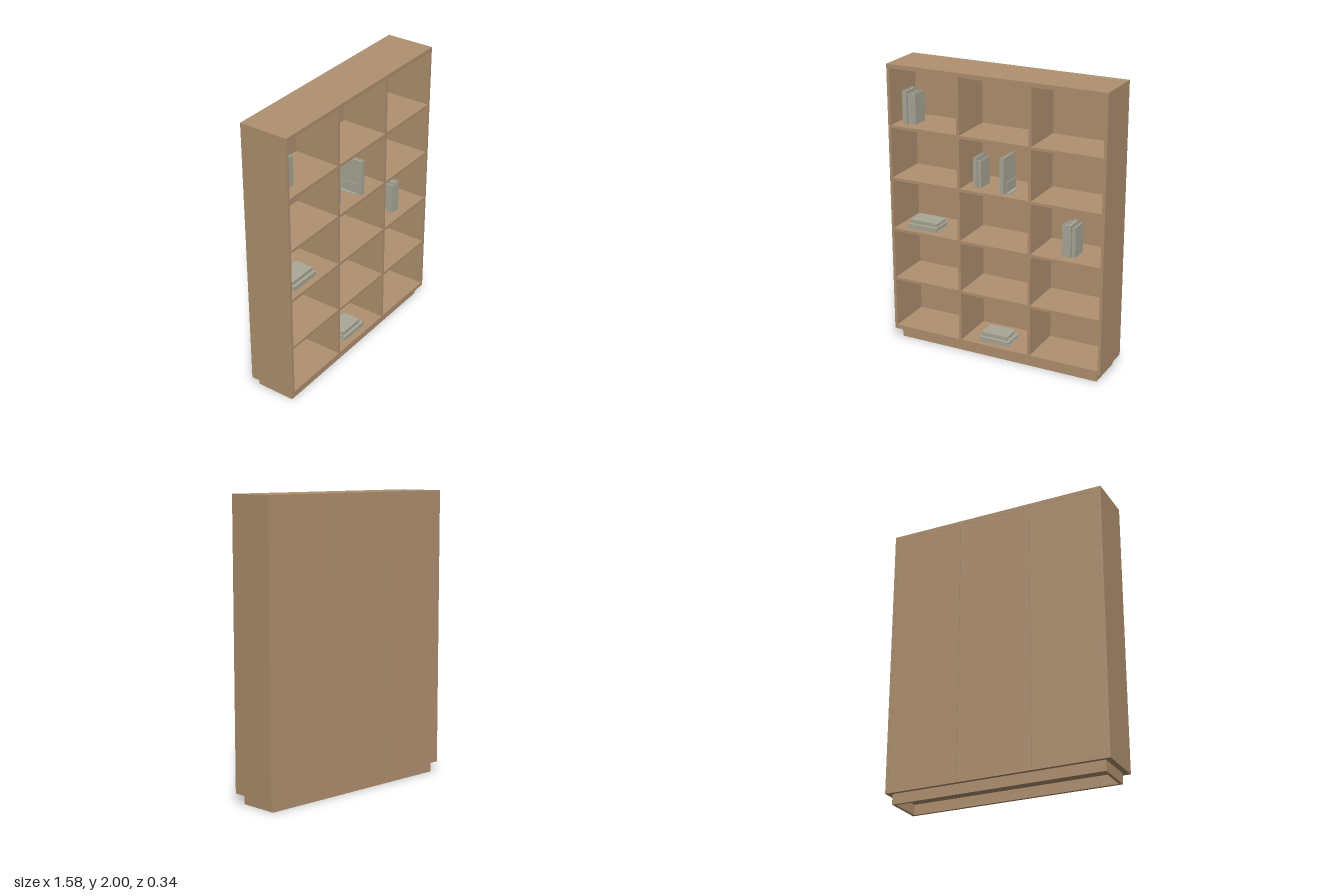
import * as THREE from 'three';

const wood = new THREE.MeshStandardMaterial({ name: 'oakWood', color: 0xb09170 });
const cloth = new THREE.MeshStandardMaterial({ name: 'greyBook', color: 0xa9a797 });

// Box given by its lower and upper limits on each axis
function box(parent, name, mat, [x0, x1], [y0, y1], [z0, z1]) {
  const mesh = new THREE.Mesh(new THREE.BoxGeometry(x1 - x0, y1 - y0, z1 - z0), mat);
  mesh.position.set((x0 + x1) / 2, (y0 + y1) / 2, (z0 + z1) / 2);
  mesh.name = name;
  parent.add(mesh);
  return mesh;
}

// Upright book, spine towards +z, standing on its local origin
function book(t, h, d) {
  const g = new THREE.Group();
  const c = 0.004, r = 0.008;
  box(g, 'coverLeft', cloth, [-t / 2, -t / 2 + c], [0, h], [-d / 2, d / 2]);
  box(g, 'coverRight', cloth, [t / 2 - c, t / 2], [0, h], [-d / 2, d / 2]);
  box(g, 'spine', cloth, [-t / 2 + c, t / 2 - c], [0, h], [d / 2 - c, d / 2]);
  box(g, 'pages', cloth, [-t / 2 + c, t / 2 - c], [r / 2, h - r], [-d / 2 + r, d / 2 - c]);
  return g;
}

export function createModel() {
  const model = new THREE.Group();
  model.name = 'bookcase';
  const W = 0.79, D = 0.172, T = 0.02, base = 0.072;
  const floors = [0.1, 0.47, 0.84, 1.21, 1.58];
  const ceilings = [0.45, 0.82, 1.19, 1.56, 1.972];
  const backFront = -D + 0.012;

  // Outer case
  box(model, 'topBoard', wood, [-W, W], [1.972, 2], [-D, D]);
  box(model, 'bottomBoard', wood, [-W + T, W - T], [base, 0.1], [-D + 0.001, D]);
  for (const s of [-1, 1]) {
    const x = s * (W - T / 2);
    box(model, s < 0 ? 'rightSide' : 'leftSide', wood, [x - T / 2, x + T / 2], [base, 1.972], [-D, D]);
  }

  // Shelves and the dividers between them
  for (let i = 0; i < 5; i++) {
    if (i > 0) box(model, 'shelf', wood, [-W + T, W - T], [ceilings[i - 1], floors[i]], [backFront, D - 0.002]);
    for (const x of [-0.262, 0.262])
      box(model, 'divider', wood, [x - 0.01, x + 0.01], [floors[i], ceilings[i]], [backFront, D - 0.003]);
  }

  // Three back panels with fine seams
  const seams = [-W + T, -0.263, 0.263, W - T];
  for (let i = 0; i < 3; i++)
    box(model, 'backPanel', wood, [seams[i] + 0.001, seams[i + 1] - 0.001], [0.1, 1.972], [-D + 0.001, backFront]);

  // Open plinth frame, set in from the case
  box(model, 'plinthFront', wood, [-0.75, 0.75], [0, base], [0.113, 0.133]);
  box(model, 'plinthBack', wood, [-0.75, 0.75], [0, base], [-0.145, -0.127]);
  for (const x of [-0.74, 0.74])
    box(model, 'plinthEnd', wood, [x - 0.01, x + 0.01], [0, base], [-0.127, 0.113]);

  // Standing books: x from, x to, floor, top, z back, z front
  const standing = [
    [-0.717, -0.683, 1.58, 1.81, -0.035, 0.105],
    [-0.681, -0.654, 1.58, 1.79, -0.035, 0.09],
    [-0.652, -0.625, 1.58, 1.79, -0.035, 0.09],
    [-0.186, -0.159, 1.21, 1.42, -0.035, 0.1],
    [-0.157, -0.133, 1.21, 1.40, -0.035, 0.09],
    [0.03, 0.06, 1.21, 1.46, -0.035, 0.14],
    [0.465, 0.493, 0.84, 1.055, -0.035, 0.1],
    [0.495, 0.531, 0.84, 1.065, -0.035, 0.105],
    [0.533, 0.557, 0.84, 1.05, -0.035, 0.09],
  ];
  for (const [x0, x1, y0, y1, z0, z1] of standing) {
    const b = book(x1 - x0, y1 - y0, z1 - z0);
    b.name = 'standingBook';
    b.position.set((x0 + x1) / 2, y0, (z0 + z1) / 2);
    model.add(b);
  }

  // Lying books, same limits
  const lying = [
    [-0.688, -0.46, 0.84, 0.872, -0.04, 0.125],
    [-0.679, -0.467, 0.872, 0.898, -0.03, 0.105],
    [-0.137, 0.09, 0.1, 0.131, -0.04, 0.125],
    [-0.128, 0.07, 0.131, 0.158, -0.03, 0.105],
  ];
  for (const [x0, x1, y0, y1, z0, z1] of lying) {
    const b = book(y1 - y0, x1 - x0, z1 - z0);
    b.name = 'lyingBook';
    b.rotation.z = -Math.PI / 2;
    b.position.set(x0, (y0 + y1) / 2, (z0 + z1) / 2);
    model.add(b);
  }

  // Pair of L-shaped bookends around the single book
  for (const s of [-1, 1]) {
    const span = (a, b) => [0.045 + s * a, 0.045 + s * b].sort((p, q) => p - q);
    box(model, 'bookendPlate', cloth, span(0.016, 0.021), [1.21, 1.285], [-0.03, 0.11]);
    box(model, 'bookendFoot', cloth, span(0.021, 0.042), [1.21, 1.215], [-0.03, 0.11]);
  }
  return model;
}
